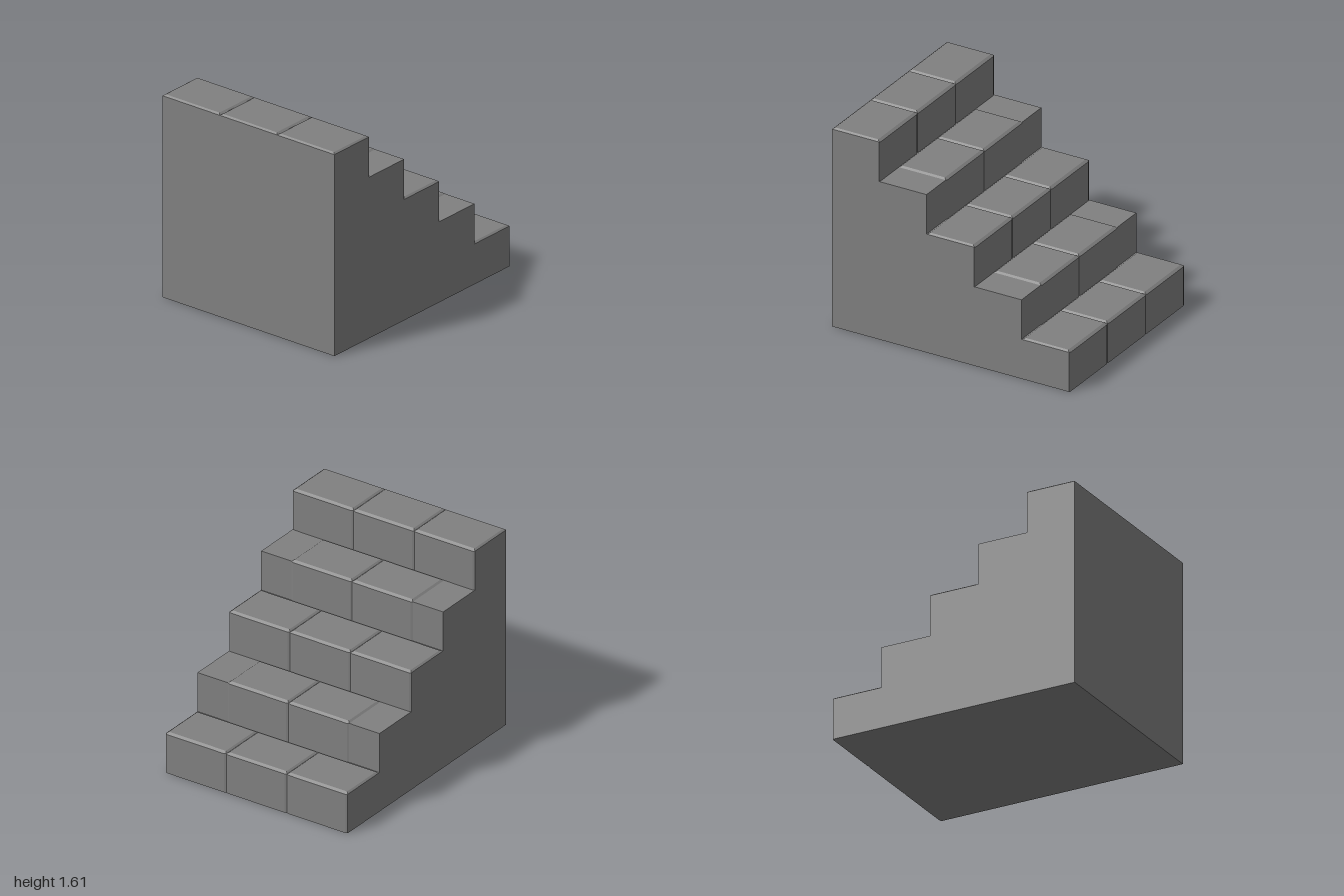
import * as THREE from 'three';
import { ConvexGeometry } from 'three/addons/geometries/ConvexGeometry.js';

const STEPS = 5, RUN = 0.4, RISE = 0.32, HALF = 0.8;
const BEVEL = 0.016, LIFT = 0.011, PROUD = 0.006;

// One stone facing: raised above the tread and proud of the riser, with bevelled edges
function blockGeometry(x0, x1, y0, y1, z0, z1) {
  const points = [];
  const addProfile = (z, profile) => profile.forEach(([x, y]) => points.push(new THREE.Vector3(x, y, z)));
  const base = [[x0, y0], [x0, y1], [x1 - PROUD, y1], [x1 - PROUD, y0]];
  const raised = [[x0 + BEVEL, y1 + LIFT], [x1 - 0.022, y1 + LIFT], [x1, y1 - 0.003], [x1, y0]];
  addProfile(z0, base);
  addProfile(z1, base);
  addProfile(z0 + BEVEL, raised);
  addProfile(z1 - BEVEL, raised);
  return new ConvexGeometry(points);
}

export function createModel() {
  const model = new THREE.Group();
  model.name = 'stoneStairs';
  const stone = new THREE.MeshStandardMaterial({ color: 0x808080 });
  stone.name = 'grey stone';

  // Solid stepped core, highest at the -x end
  const outline = new THREE.Shape();
  outline.moveTo(-1, 0);
  for (let i = 0; i < STEPS; i++) {
    const top = (STEPS - i) * RISE;
    outline.lineTo(-1 + i * RUN - (i ? PROUD : 0), top);
    outline.lineTo(-1 + (i + 1) * RUN - PROUD, top);
  }
  outline.lineTo(1 - PROUD, 0);
  const coreGeometry = new THREE.ExtrudeGeometry(outline, { depth: 2 * HALF, bevelEnabled: false });
  coreGeometry.translate(0, 0, -HALF);
  const core = new THREE.Mesh(coreGeometry, stone);
  core.name = 'core';
  model.add(core);

  // Three blocks on odd steps, two staggered blocks between flat ends on even steps
  const width = 2 * HALF / 3;
  for (let i = 0; i < STEPS; i++) {
    const step = new THREE.Group();
    step.name = `step${i + 1}`;
    const count = i % 2 ? 2 : 3;
    const x0 = -1 + i * RUN, top = (STEPS - i) * RISE;
    for (let j = 0; j < count; j++) {
      const z0 = (j - count / 2) * width;
      const block = new THREE.Mesh(blockGeometry(x0, x0 + RUN, top - RISE, top, z0, z0 + width), stone);
      block.name = 'stoneBlock';
      step.add(block);
    }
    model.add(step);
  }
  return model;
}
